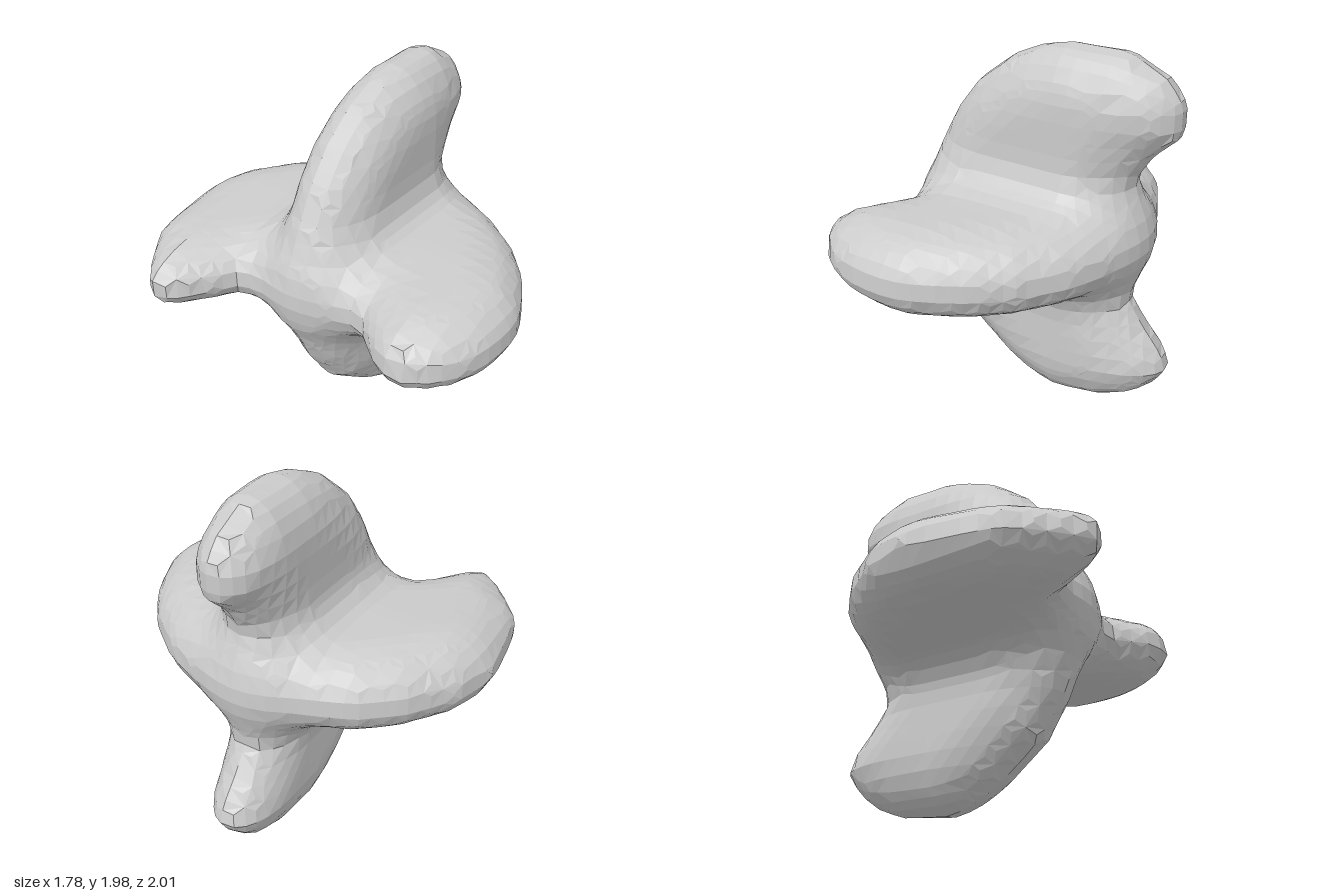
import * as THREE from 'three';

// Outline of the upright crescent (x, height above centre), opening to +x
const upright = [
  [-.49, 0], [-.49, .15], [-.44, .35], [-.33, .56], [-.2, .73], [-.02, .87], [.13, .94], [.29, .98],
  [.6, .98], [.8, .88], [.87, .8], [.9, .7], [.88, .6], [.76, .49], [.66, .33], [.62, 0],
  [.67, -.35], [.77, -.49], [.88, -.62], [.91, -.72], [.84, -.82], [.75, -.9], [.58, -.97], [.28, -1],
  [.13, -.95], [0, -.88], [-.25, -.68], [-.4, -.44], [-.49, -.17],
];
// Outline of the level crescent (x, z), opening to -x
const level = [
  [.73, 0], [.72, -.17], [.65, -.4], [.56, -.6], [.4, -.78], [.15, -.95], [-.07, -1.01], [-.2, -1],
  [-.4, -.97], [-.55, -.94], [-.7, -.83], [-.83, -.72], [-.91, -.61], [-.82, -.5], [-.7, -.42],
  [-.57, -.34], [-.49, -.2], [-.44, 0], [-.46, .36], [-.64, .59], [-.67, .72], [-.58, .85],
  [-.48, .93], [-.33, .99], [-.15, 1.01], [0, .99], [.15, .92], [.29, .84], [.45, .7], [.6, .5],
  [.68, .34], [.72, .17],
];

// Signed distance to a closed outline, negative inside
function outlineDistance(pts, x, y) {
  let best = Infinity, inside = false;
  for (let i = 0, j = pts.length - 1; i < pts.length; j = i++) {
    const [ax, ay] = pts[i], [bx, by] = pts[j];
    const ex = bx - ax, ey = by - ay, wx = x - ax, wy = y - ay;
    const t = Math.min(1, Math.max(0, (wx * ex + wy * ey) / (ex * ex + ey * ey)));
    best = Math.min(best, Math.hypot(wx - t * ex, wy - t * ey));
    if ((ay > y) !== (by > y) && x < ax + (ex * (y - ay)) / ey) inside = !inside;
  }
  return inside ? -best : best;
}

// Crescent plate of a given half thickness with a rounded rim
function plate(pts, u, v, w, half) {
  const rim = 0.3;
  const d = Math.max(outlineDistance(pts, u, v) / rim + 1, 0);
  return (Math.hypot(d, w / half) - 1) * half;
}

// Both plates, thinner toward their tips, blended with a soft fillet
function field(x, y, z) {
  const tip = Math.max(0, x - 0.4);
  const a = plate(upright, x, y, z + 0.012 + 0.08 * tip, 0.217 - 0.06 * tip);
  const b = plate(level, x, z, y, 0.225 - 0.06 * Math.max(0, -x));
  const k = 0.23, h = Math.max(k - Math.abs(a - b), 0) / k;
  return Math.min(a, b) - h * h * k * 0.25;
}

// Low-poly skin: one vertex per crossed grid cell, joined by quads
function skin(f, cell, n) {
  const N = n + 1, at = (i, j, k) => (i * N + j) * N + k;
  const pos = (i) => (i - n / 2 + 0.13) * cell;
  const values = new Float32Array(N * N * N);
  for (let i = 0; i < N; i++) for (let j = 0; j < N; j++) for (let k = 0; k < N; k++)
    values[at(i, j, k)] = f(pos(i), pos(j), pos(k));

  const verts = [], index = [], ids = new Map();
  const stride = [N * N, N, 1];
  for (let i = 0; i < n; i++) for (let j = 0; j < n; j++) for (let k = 0; k < n; k++) {
    const base = [i, j, k], sum = [0, 0, 0];
    let count = 0;
    for (let c = 0; c < 8; c++) for (let a = 0; a < 3; a++) {
      const bits = [c & 1, (c >> 1) & 1, (c >> 2) & 1];
      if (bits[a]) continue;
      const p = base.map((v, m) => v + bits[m]);
      const f0 = values[at(...p)], f1 = values[at(...p) + stride[a]];
      if ((f0 < 0) === (f1 < 0)) continue;
      for (let m = 0; m < 3; m++) sum[m] += pos(p[m] + (m === a ? f0 / (f0 - f1) : 0));
      count++;
    }
    if (!count) continue;
    const p = sum.map((s) => s / count);
    // Pull the vertex onto the surface
    for (let s = 0; s < 3; s++) {
      const e = 0.03, v = f(...p);
      const g = [0, 1, 2].map((m) => {
        const hi = [...p], lo = [...p];
        hi[m] += e;
        lo[m] -= e;
        return (f(...hi) - f(...lo)) / (2 * e);
      });
      const step = Math.max(-0.02, Math.min(0.02, v / Math.max(g[0] ** 2 + g[1] ** 2 + g[2] ** 2, 0.2)));
      for (let m = 0; m < 3; m++) p[m] -= g[m] * step;
    }
    ids.set(at(i, j, k), verts.length / 3);
    verts.push(...p);
  }

  for (let i = 1; i < n; i++) for (let j = 1; j < n; j++) for (let k = 1; k < n; k++) {
    const o = at(i, j, k);
    for (let a = 0; a < 3; a++) {
      const inside = values[o] < 0;
      if (inside === values[o + stride[a]] < 0) continue;
      const b = stride[(a + 1) % 3], c = stride[(a + 2) % 3];
      const q = [o - b - c, o - c, o, o - b].map((id) => ids.get(id));
      if (!inside) q.reverse();
      index.push(q[0], q[1], q[2], q[0], q[2], q[3]);
    }
  }
  const geometry = new THREE.BufferGeometry();
  geometry.setAttribute('position', new THREE.Float32BufferAttribute(verts, 3));
  geometry.setIndex(index);
  geometry.computeVertexNormals();
  return geometry;
}

export function createModel() {
  const group = new THREE.Group();
  group.name = 'crossedCrescents';
  const geometry = skin(field, 0.085, 28);

  // Stand on the ground, centred
  geometry.computeBoundingBox();
  const size = geometry.boundingBox.getSize(new THREE.Vector3());
  geometry.center();
  geometry.translate(0, size.y / 2, 0);

  const body = new THREE.Mesh(geometry, new THREE.MeshStandardMaterial({ color: 0xcccccc, flatShading: true }));
  body.name = 'blendedCrescentBody';
  group.add(body);
  return group;
}
